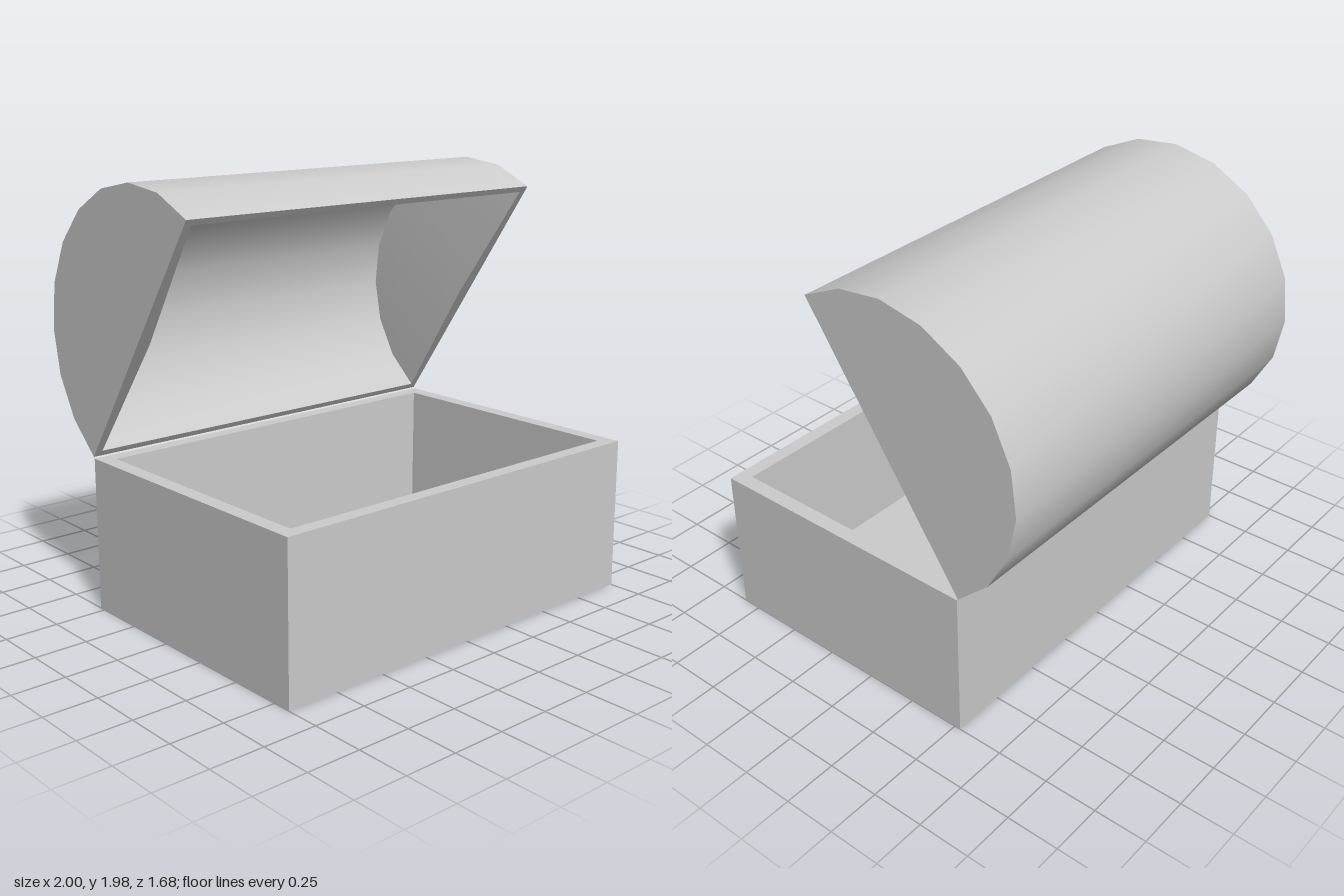
import * as THREE from 'three';
import { toCreasedNormals } from 'three/addons/utils/BufferGeometryUtils.js';

const material = new THREE.MeshStandardMaterial({ color: 0xcccccc });

// Collects polygons (3 or 4 corners, counter-clockwise from outside) into one mesh
function shell(name, build) {
  const pos = [];
  const face = (pts, flip = false) => {
    const p = flip ? [...pts].reverse() : pts;
    for (let i = 1; i < p.length - 1; i++) pos.push(...p[0], ...p[i], ...p[i + 1]);
  };
  build(face);
  const geo = new THREE.BufferGeometry();
  geo.setAttribute('position', new THREE.Float32BufferAttribute(pos, 3));
  const mesh = new THREE.Mesh(toCreasedNormals(geo, 0.5), material);
  mesh.name = name;
  return mesh;
}

// Open box with thick, slightly tapered walls
function makeBase() {
  const ring = (x, zFront, zBack, y) =>
    [[x, y, zFront], [x, y, zBack], [-x, y, zBack], [-x, y, zFront]];
  const rings = [
    ring(1, 0.84, -0.53, 0),
    ring(1, 0.84, -0.53, 0.718),
    ring(0.93, 0.772, -0.462, 0.718),
    ring(0.92, 0.765, -0.455, 0.07),
  ];
  return shell('chestBase', (face) => {
    for (let r = 0; r < rings.length - 1; r++) {
      const a = rings[r], b = rings[r + 1];
      for (let i = 0; i < 4; i++) {
        const j = (i + 1) % 4;
        face([a[i], a[j], b[j], b[i]]);
      }
    }
    face(rings[0], true); // underside
    face(rings[3]); // inner floor
  });
}

// Hollow half-cylinder lid, built closed (dome up) and then tilted open
function makeLid() {
  const SEGMENTS = 10, R = 0.685, r = 0.653, X = 1, x = 0.965, xMid = 0.935;
  const point = (px, radius, i) => {
    const a = (i / SEGMENTS) * Math.PI;
    return [px, radius * Math.sin(a), radius * Math.cos(a)];
  };
  const lid = shell('chestLid', (face) => {
    for (let i = 0; i < SEGMENTS; i++) {
      const j = i + 1;
      // outer and inner curved skins
      face([point(-X, R, i), point(X, R, i), point(X, R, j), point(-X, R, j)]);
      face([point(-x, r, i), point(x, r, i), point(x, r, j), point(-x, r, j)], true);
      // end walls, thicker at the middle of the opening
      for (const s of [1, -1]) {
        face([[s * X, 0, 0], point(s * X, R, j), point(s * X, R, i)], s < 0);
        face([[s * xMid, 0, 0], point(s * x, r, i), point(s * x, r, j)], s < 0);
      }
    }
    // rim around the opening
    for (const s of [1, -1]) {
      face([[-X, 0, s * R], [-x, 0, s * r], [x, 0, s * r], [X, 0, s * R]], s < 0);
      for (const t of [1, -1]) {
        face([[s * X, 0, t * R], [s * x, 0, t * r], [s * xMid, 0, 0], [s * X, 0, 0]], s * t < 0);
      }
    }
  });
  lid.position.set(0, 1.293, -0.153);
  lid.rotation.x = -0.978;
  return lid;
}

export function createModel() {
  const chest = new THREE.Group();
  chest.name = 'openChest';
  chest.add(makeBase(), makeLid());
  return chest;
}
